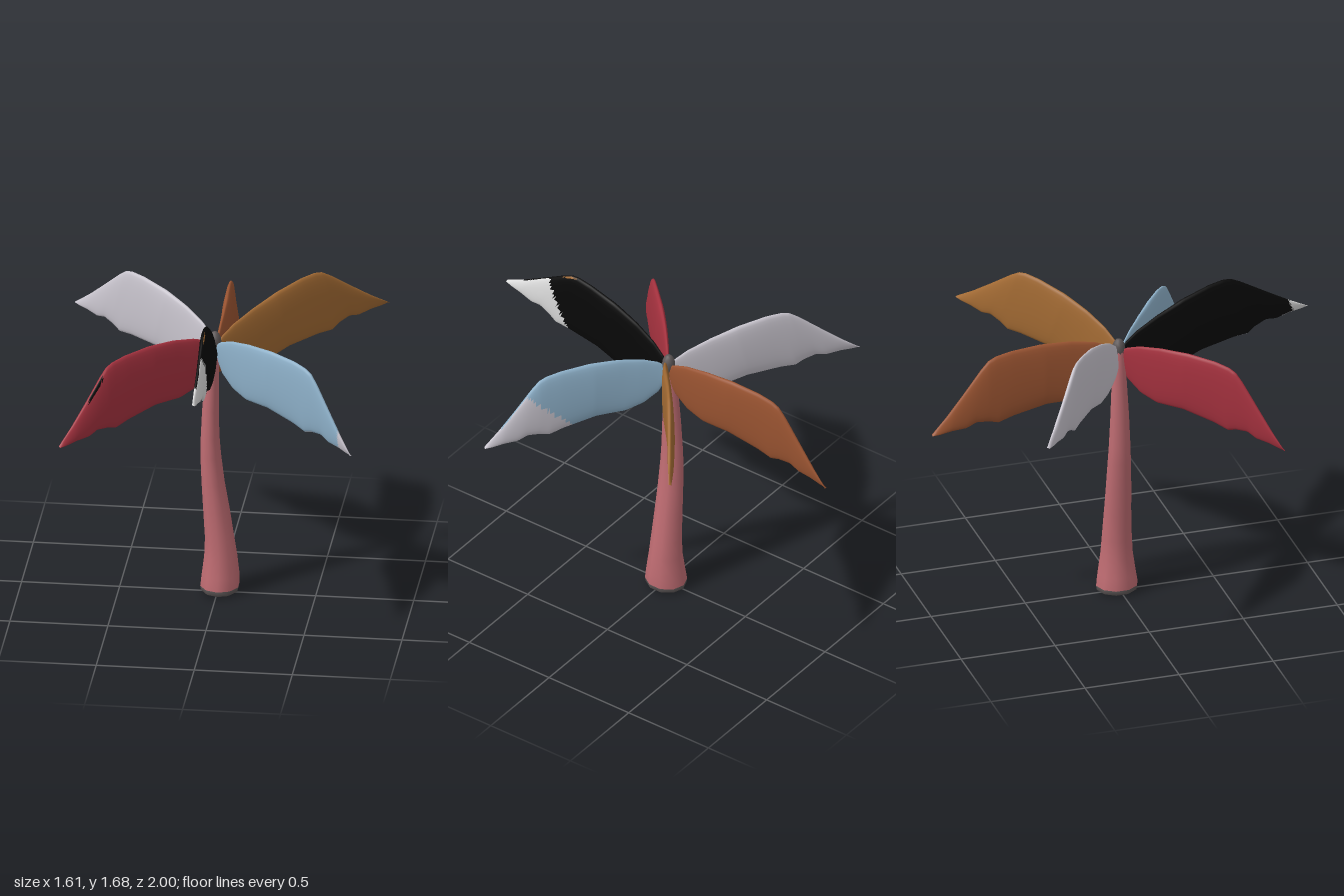
import * as THREE from 'three';

const mat = (name, color) => Object.assign(new THREE.MeshStandardMaterial({ color }), { name });

// Closed tube of rows x cols points; pick(row, centroid) gives the material index of each triangle
function loft(rows, cols, point, pick) {
  const pos = [], buckets = [];
  for (let i = 0; i < rows; i++)
    for (let j = 0; j < cols; j++) pos.push(...point(i, (j / cols) * Math.PI * 2));
  const add = (row, ...t) => {
    const c = [0, 1, 2].map(k => (pos[t[0] * 3 + k] + pos[t[1] * 3 + k] + pos[t[2] * 3 + k]) / 3);
    (buckets[pick(row, c)] ??= []).push(...t);
  };
  for (let i = 0; i < rows - 1; i++)
    for (let j = 0; j < cols; j++) {
      const k = (j + 1) % cols, a = i * cols + j, b = a + cols, c = i * cols + k, d = c + cols;
      add(i, a, c, b);
      add(i, b, c, d);
    }
  const geo = new THREE.BufferGeometry();
  geo.setAttribute('position', new THREE.Float32BufferAttribute(pos, 3));
  const index = [];
  buckets.forEach((list, m) => {
    geo.addGroup(index.length, list.length, m);
    for (const v of list) index.push(v);
  });
  geo.setIndex(index);
  geo.computeVertexNormals();
  return geo;
}

// Linear lookup in a list of [x, y] points
function at(pts, x) {
  let i = 1;
  while (i < pts.length - 1 && pts[i][0] < x) i++;
  const [x0, y0] = pts[i - 1], [x1, y1] = pts[i];
  return y0 + ((y1 - y0) * (x - x0)) / (x1 - x0);
}

// Leaf outline, reaching outward along x from the crown
const TOP = [[0, -0.01], [0.02, 0.015], [0.05, 0.035], [0.13, 0.065], [0.26, 0.087], [0.42, 0.096], [0.58, 0.086],
  [0.66, 0.07], [0.7, 0.05], [0.74, 0.005], [0.84, -0.13], [0.92, -0.235], [1, -0.328]];
const BOTTOM = [[0, -0.03], [0.02, -0.1], [0.05, -0.15], [0.13, -0.21], [0.23, -0.243], [0.39, -0.242], [0.57, -0.277],
  [0.65, -0.302], [0.7, -0.288], [0.77, -0.283], [0.82, -0.308], [0.9, -0.315], [0.96, -0.328], [1, -0.332]];
const THICK = [[0, 0.01], [0.15, 0.018], [0.4, 0.027], [0.7, 0.022], [0.9, 0.013], [1, 0.003]];

function leafGeometry(pick) {
  const rows = 81;
  return loft(rows, 28, (i, a) => {
    const x = i / (rows - 1), top = at(TOP, x), bottom = at(BOTTOM, x);
    const s = Math.sin(a), c = Math.cos(a);
    const z = at(THICK, x) * Math.sign(s) * Math.abs(s) ** 0.8;
    return [x, (top + bottom) / 2 + (c * (top - bottom)) / 2, z + 0.008 * Math.sin(x * Math.PI * 2) + 0.006 * c];
  }, (row, [x, y, z]) => pick(x, y, z < 0.008 * Math.sin(x * Math.PI * 2)));
}

export function createModel() {
  const group = new THREE.Group();
  const bark = mat('pink bark', 0xbf6c72), dark = mat('dark grey', 0x5c5656);
  const black = mat('black', 0x080808), white = mat('white', 0xdcdcdc);
  const pale = mat('pale lavender', 0xc8c4cd), blue = mat('soft blue', 0x8fb2cb);
  const red = mat('crimson', 0xa6323f), ochre = mat('ochre', 0xa26a33), rust = mat('rust', 0x9c5532);

  // Trunk: [y, centre x, centre z, radius x, radius z], curved and tapering
  const rings = [[0, 0.01, -0.01, 0, 0], [0.004, 0.01, -0.01, 0.085, 0.095], [0.012, 0.01, -0.01, 0.097, 0.107],
    [0.035, 0.01, -0.01, 0.101, 0.11], [0.1, 0.013, -0.01, 0.097, 0.1], [0.2, 0.014, -0.01, 0.085, 0.086],
    [0.3, 0.008, -0.011, 0.075, 0.08], [0.45, -0.008, -0.012, 0.068, 0.073], [0.6, -0.025, -0.012, 0.059, 0.068],
    [0.75, -0.037, -0.012, 0.053, 0.062], [0.85, -0.04, -0.011, 0.048, 0.057], [1, -0.038, -0.01, 0.043, 0.05],
    [1.2, -0.03, -0.01, 0.035, 0.04], [1.38, -0.018, -0.008, 0.028, 0.031], [1.385, -0.018, -0.008, 0, 0]];
  const trunk = new THREE.Mesh(loft(rings.length, 10, (i, a) => {
    const [y, cx, cz, rx, rz] = rings[i];
    return [cx + rx * Math.sin(a), y, cz + rz * Math.cos(a)];
  }, row => (row < 3 ? 1 : 0)), [bark, dark]);
  trunk.name = 'trunk';
  group.add(trunk);

  // Crown hub where the leaves meet
  const hub = new THREE.Mesh(new THREE.SphereGeometry(0.034, 12, 8), dark);
  hub.name = 'crownHub';
  hub.scale.y = 1.7;
  hub.position.set(-0.015, 1.375, -0.008);
  group.add(hub);

  // Leaves: tip direction (x, z), upward tilt in degrees, length, materials, colour rule
  const plain = () => 0;
  const leaves = [
    ['frontLeaf', 0.005, 1, 24, 0.957, [black, white, ochre], (x, y, near) => {
      if (!near) return x > 0.92 ? 1 : 0;
      if (x > 0.885 + 1.14 * y) return 1;
      return x > 0.64 && y > 0.08 - 0.83 * (x - 0.64) ? 2 : 0;
    }],
    ['frontLeftLeaf', 0.76, 0.59, 0, 0.962, [blue, pale],
      (x, y, near) => (x > (near ? 0.82 + 1.17 * y : 0.905) ? 1 : 0)],
    ['backLeftLeaf', 0.81, -0.61, 19, 0.963, [ochre], plain],
    ['backLeaf', 0, -1, 0, 0.995, [rust], plain],
    ['backRightLeaf', -0.79, -0.63, 14, 0.962, [pale], plain],
    ['frontRightLeaf', -0.72, 0.65, 0, 0.97, [red, black],
      (x, y, near) => (near && x > 0.73 && x < 0.82 && y > at(TOP, x) - 0.025 ? 1 : 0)],
  ];
  for (const [name, x, z, tilt, size, materials, pick] of leaves) {
    const leaf = new THREE.Mesh(leafGeometry(pick), materials);
    leaf.name = name;
    leaf.position.set(-0.01, 1.36, -0.002);
    leaf.rotation.set(0, Math.atan2(-z, x), THREE.MathUtils.degToRad(tilt));
    leaf.scale.setScalar(size);
    group.add(leaf);
  }
  return group;
}
